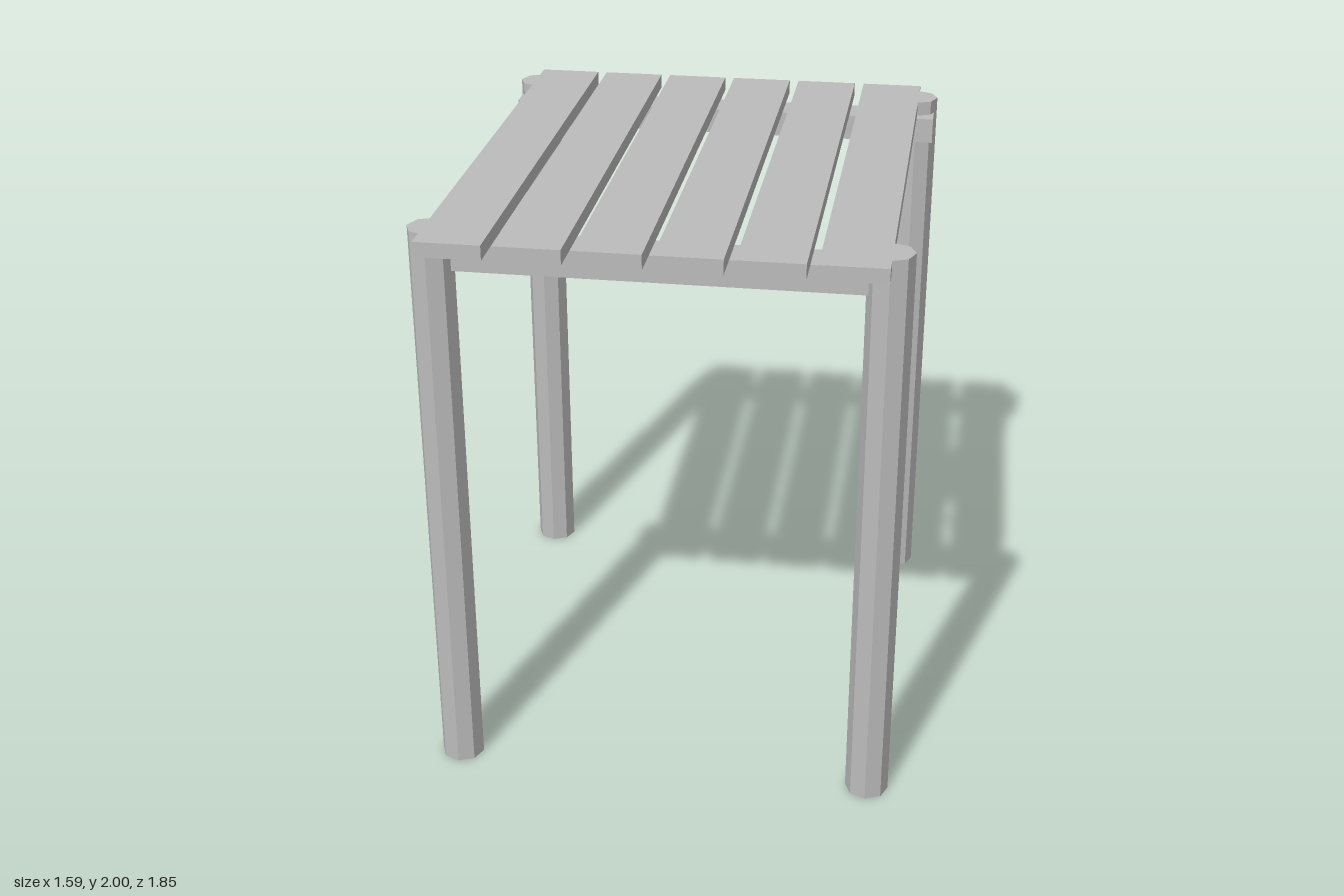
import * as THREE from 'three';

export function createModel() {
  const wood = new THREE.MeshStandardMaterial({ color: 0xbcbcbc });
  wood.name = 'greyWood';
  wood.flatShading = true;

  const table = new THREE.Group();
  table.name = 'slattedTable';

  const add = (name, geometry, x, y, z) => {
    const mesh = new THREE.Mesh(geometry, wood);
    mesh.name = name;
    mesh.position.set(x, y, z);
    table.add(mesh);
  };

  // Octagonal legs running full height, flush with the top
  const legGeometry = new THREE.CylinderGeometry(0.074, 0.074, 2, 8);
  // Cross rails under the slats, set inward from the leg axes
  const railGeometry = new THREE.BoxGeometry(1.574, 0.09, 0.129);
  for (const [end, sz] of [['front', 1], ['back', -1]]) {
    for (const [side, sx] of [['Left', 1], ['Right', -1]]) {
      add(`${end}${side}Leg`, legGeometry, sx * 0.722, 1, sz * 0.787);
    }
    add(`${end}Rail`, railGeometry, 0, 1.905, sz * 0.741);
  }

  // Six top slats, laid out slightly toward the right side
  const slatGeometry = new THREE.BoxGeometry(0.216, 0.05, 1.85);
  for (let i = 0; i < 6; i++) {
    add(`slat${i + 1}`, slatGeometry, -0.632 + i * 0.25, 1.975, 0);
  }

  return table;
}
